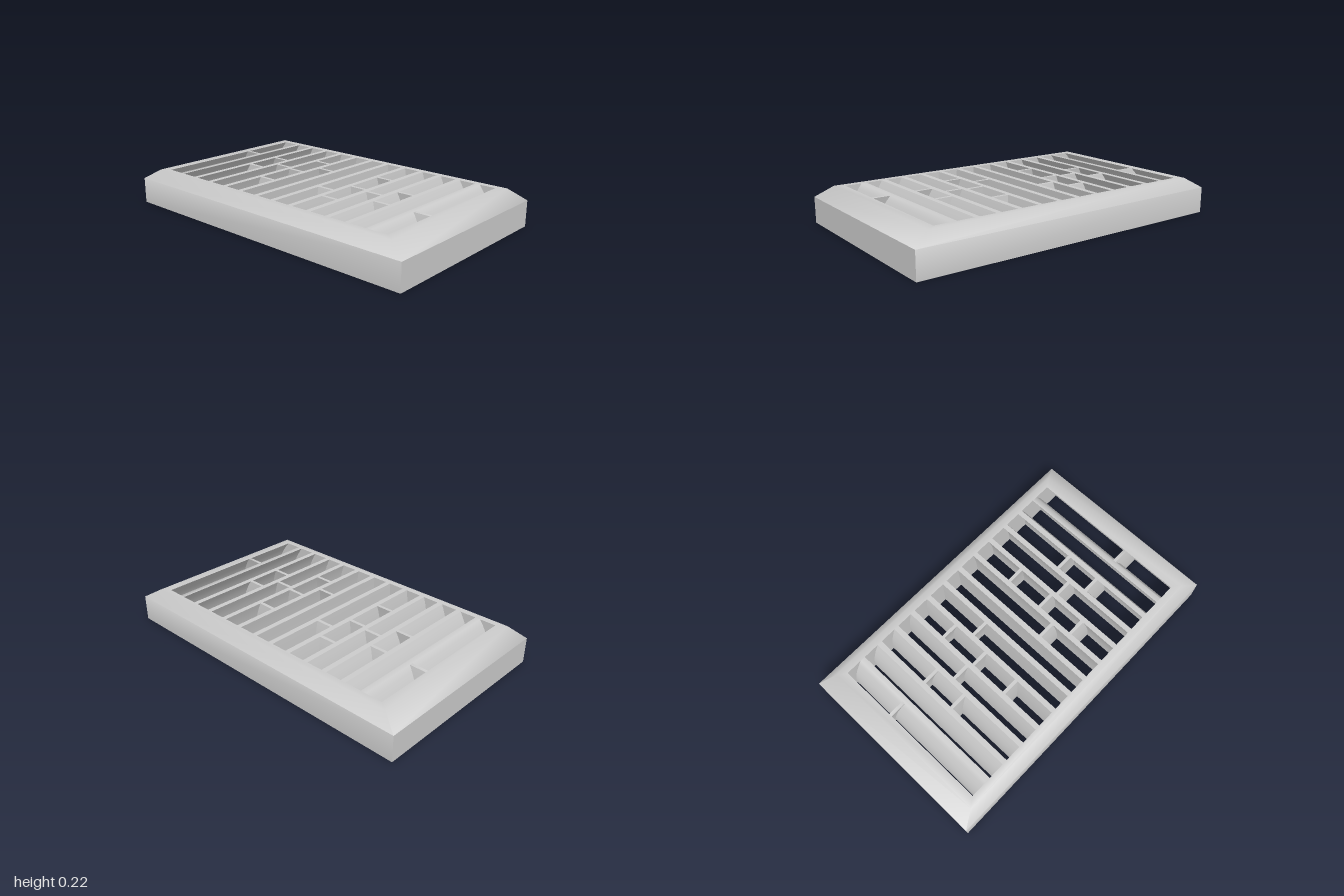
import * as THREE from 'three';
import { toCreasedNormals } from 'three/addons/utils/BufferGeometryUtils.js';

const H = 0.22;        // overall height
const OPEN_Z = 0.503;  // half length of the openings
const SLATS = 6;       // per side
const STEPS = 8;       // height steps along curved walls
const material = new THREE.MeshStandardMaterial({ color: 0xcccccc });

// Lofts rectangles [x0, x1, z0, z1, y] into a solid; 'ring' joins last to first instead of capping
function loft(rows, ring = false) {
  const loops = rows.map(([x0, x1, z0, z1, y]) =>
    [[x0, y, z0], [x0, y, z1], [x1, y, z1], [x1, y, z0]]);
  const pos = [];
  const quad = (a, b, c, d) => pos.push(...a, ...b, ...c, ...a, ...c, ...d);
  const n = loops.length;
  for (let i = 0; i < (ring ? n : n - 1); i++) {
    const lo = loops[i], hi = loops[(i + 1) % n];
    for (let j = 0; j < 4; j++) {
      const k = (j + 1) % 4;
      quad(lo[j], lo[k], hi[k], hi[j]);
    }
  }
  if (!ring) {
    quad(...loops[n - 1]);
    quad(...[...loops[0]].reverse());
  }
  const geometry = new THREE.BufferGeometry();
  geometry.setAttribute('position', new THREE.Float32BufferAttribute(pos, 3));
  return toCreasedNormals(geometry, 0.98);
}

// Inner and outer face of slat k at height fraction t: upright below, curling to the centre on top
const slatInner = (k, t) => 0.048 + 0.133 * k + (0.005 + 0.016 * k) * (1 - t * t);
const slatOuter = (k, t) => slatInner(k, t) + 0.032;

const heights = Array.from({ length: STEPS + 1 }, (_, i) => i / STEPS);
const span = (side, a, b) => (side > 0 ? [a, b] : [-b, -a]);

function addMesh(parent, name, geometry) {
  const mesh = new THREE.Mesh(geometry, material);
  mesh.name = name;
  parent.add(mesh);
}

// Bevelled outer frame with flared end walls inside
function createFrame() {
  const rect = (hx, hz, y) => [-hx, hx, -hz, hz, y];
  const rows = [rect(1, 0.6, 0), rect(1, 0.6, 0.157), rect(0.9, 0.543, H)];
  for (const t of [...heights].reverse()) rows.push(rect(slatInner(SLATS, t), OPEN_Z, t * H));
  return loft(rows, true);
}

// Cross dividers: [opening, z at the top, z at the bottom]; the other side is turned half round
const DIVIDERS = [
  [1, 0.144, 0.172],
  [2, -0.229, -0.247], [2, 0.015, 0.022], [2, 0.261, 0.29],
  [3, 0.037, 0.049],
  [4, -0.074, -0.086], [4, 0.144, 0.172],
  [6, 0.144, 0.172],
];

export function createModel() {
  const model = new THREE.Group();
  model.name = 'ventGrille';
  addMesh(model, 'frame', createFrame());

  const slats = new THREE.Group();
  slats.name = 'slats';
  const dividers = new THREE.Group();
  dividers.name = 'crossDividers';
  model.add(slats, dividers);

  for (const side of [1, -1]) {
    for (let k = 0; k < SLATS; k++) {
      addMesh(slats, 'slat', loft(heights.map((t) =>
        [...span(side, slatInner(k, t), slatOuter(k, t)), -OPEN_Z, OPEN_Z, t * H])));
    }
    for (const [opening, top, bottom] of DIVIDERS) {
      addMesh(dividers, 'crossDivider', loft(heights.map((t) => {
        const z = side * (top + (bottom - top) * (1 - t * t));
        const xs = span(side, slatOuter(opening - 1, t), slatInner(opening, t));
        return [...xs, z - 0.01, z + 0.01, t * H];
      })));
    }
  }
  return model;
}
